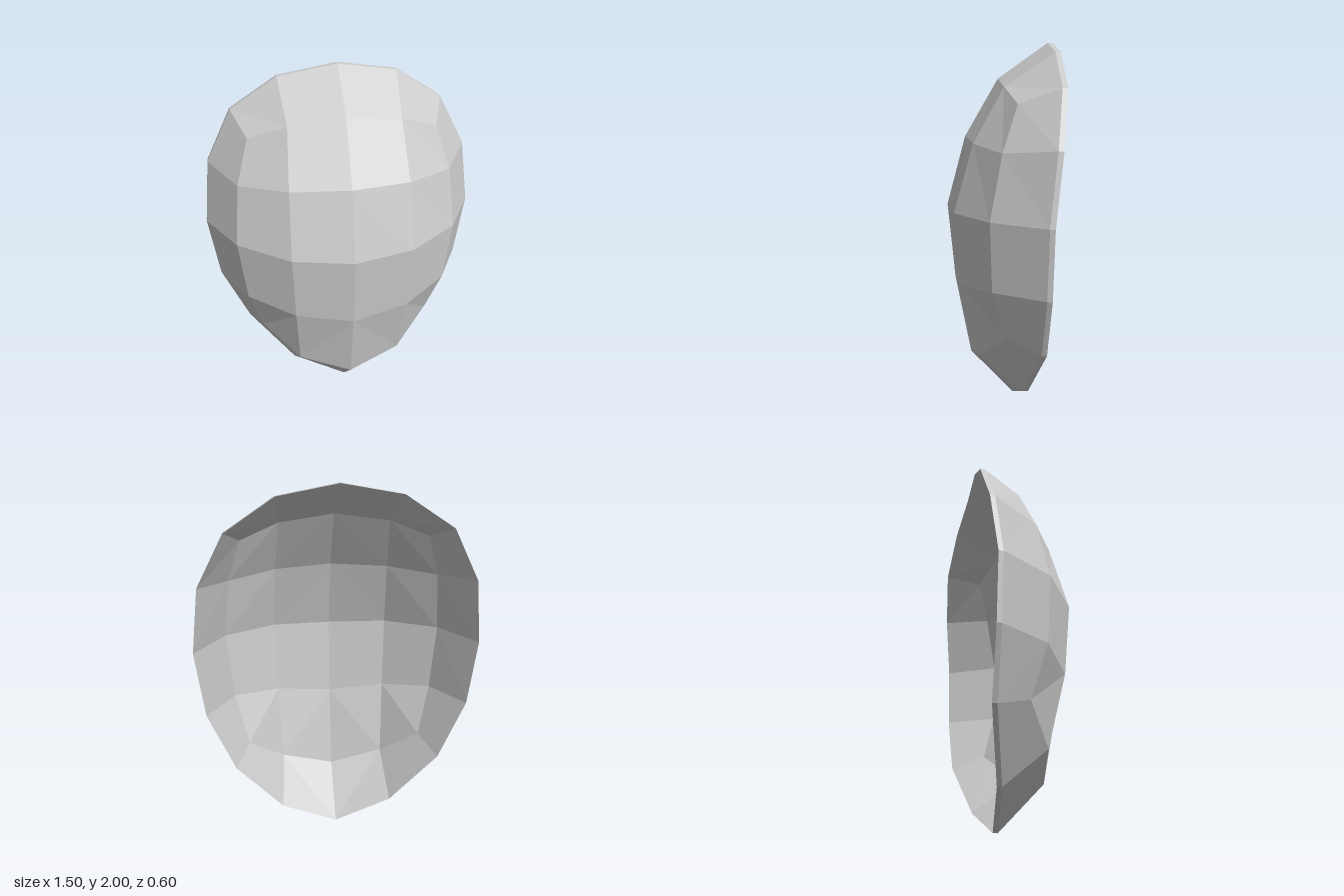
import * as THREE from 'three';

const THICKNESS = 0.026;

// Face of the shell, half side (x >= 0): rows from brow to chin, columns from centre to side
const face = [
  [[0, 1.815, 0.02], [0.29, 1.78, -0.01], [0.49, 1.705, -0.073]],
  [[0, 1.51, 0.198], [0.31, 1.5, 0.145], [0.56, 1.48, 0.0]],
  [[0, 1.135, 0.3], [0.322, 1.148, 0.245], [0.593, 1.158, 0.06]],
  [[0, 0.715, 0.262], [0.312, 0.758, 0.212], [0.56, 0.8, 0.05]],
  [[0, 0.26, 0.177], [0.293, 0.36, 0.12], [0.49, 0.53, -0.02]],
];

// Outer rim, half side, from the top round to the chin
const rim = [
  [0, 2, -0.244], [0.312, 1.945, -0.26], [0.563, 1.78, -0.274],
  [0.706, 1.507, -0.248], [0.75, 1.16, -0.212], [0.706, 0.803, -0.208],
  [0.565, 0.47, -0.196], [0.312, 0.155, -0.115], [0, 0, -0.066],
];

// Border of the face, in the same order as the rim
const border = [...face[0], face[1][2], face[2][2], face[3][2], ...[...face[4]].reverse()];

const behind = ([x, y, z]) => [x, y, z - THICKNESS];
const mirrored = ([x, y, z]) => [-x, y, z];

// Collects quads on both halves and turns them into a flat-shaded mesh
function buildPart(name, quads, material) {
  const positions = [];
  const add = (a, b, c, d) => positions.push(...a, ...b, ...c, ...a, ...c, ...d);
  for (const [a, b, c, d] of quads) {
    add(a, b, c, d);
    // same diagonal on the other half, wound the other way
    add(...[a, d, c, b].map(mirrored));
  }
  const geometry = new THREE.BufferGeometry();
  geometry.setAttribute('position', new THREE.Float32BufferAttribute(positions, 3));
  geometry.computeVertexNormals();
  const mesh = new THREE.Mesh(geometry, material);
  mesh.name = name;
  return mesh;
}

export function createModel() {
  const material = new THREE.MeshStandardMaterial({ color: 0xcccccc, flatShading: true });
  const front = [];
  const edge = [];

  // Central panels
  for (let r = 0; r < 4; r++) {
    for (let c = 0; c < 2; c++) {
      front.push([face[r][c], face[r + 1][c], face[r + 1][c + 1], face[r][c + 1]]);
    }
  }

  // Sloping panels out to the rim, and the thin edge behind it
  for (let i = 0; i < 8; i++) {
    front.push([border[i], border[i + 1], rim[i + 1], rim[i]]);
    edge.push([rim[i], rim[i + 1], behind(rim[i + 1]), behind(rim[i])]);
  }

  // Hollow inside: the same panels set back and facing the other way
  const back = front.map(([a, b, c, d]) => [a, d, c, b].map(behind));

  const mask = new THREE.Group();
  mask.name = 'mask';
  mask.add(
    buildPart('outerShell', front, material),
    buildPart('innerShell', back, material),
    buildPart('rimEdge', edge, material),
  );
  return mask;
}
